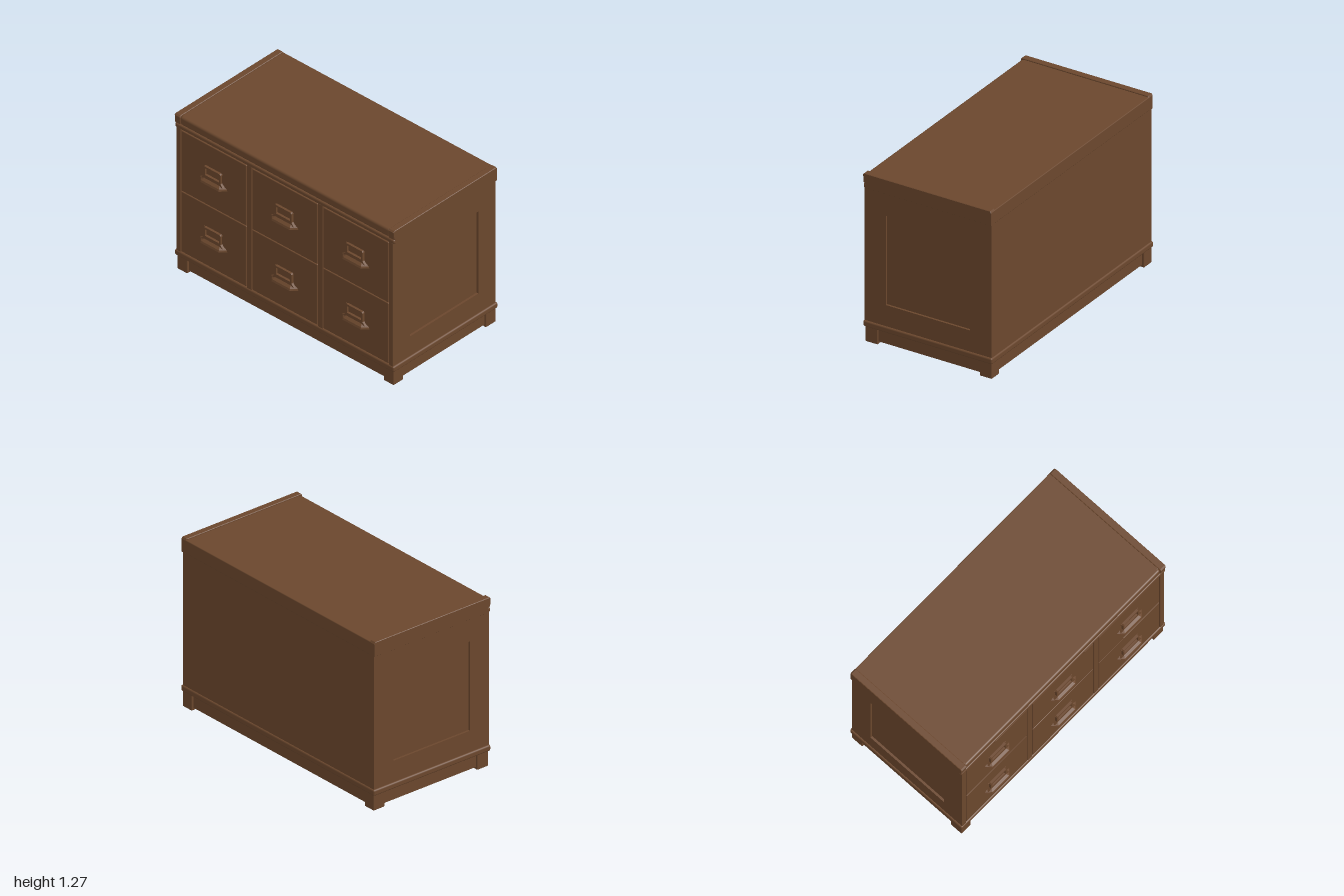
import * as THREE from 'three';
import { RoundedBoxGeometry } from 'three/addons/geometries/RoundedBoxGeometry.js';

const wood = new THREE.MeshStandardMaterial({ color: 0x6b472d, side: THREE.DoubleSide });
wood.name = 'brown wood';

function add(parent, name, geometry, x = 0, y = 0, z = 0) {
  const mesh = new THREE.Mesh(geometry, wood);
  mesh.name = name;
  mesh.position.set(x, y, z);
  parent.add(mesh);
  return mesh;
}

// Box given by its limits; r > 0 rounds the edges
function block(parent, name, [x0, x1], [y0, y1], [z0, z1], r = 0) {
  const size = [x1 - x0, y1 - y0, z1 - z0];
  const geometry = r ? new RoundedBoxGeometry(...size, 2, r) : new THREE.BoxGeometry(...size);
  return add(parent, name, geometry, (x0 + x1) / 2, (y0 + y1) / 2, (z0 + z1) / 2);
}

function rectangle(Path, x0, x1, y0, y1) {
  return new Path([[x0, y0], [x1, y0], [x1, y1], [x0, y1]].map(p => new THREE.Vector2(...p)));
}

// Flared shell of a drawer pull, open underneath
function pullGeometry() {
  const rings = [
    [[-0.125, 0], [-0.083, 0.041], [0.083, 0.041], [0.125, 0]].map(([x, z]) => [x, 0, z]),
    [[-0.12, 0], [-0.08, 0.036], [0.08, 0.036], [0.12, 0]].map(([x, z]) => [x, 0.014, z]),
    [[-0.09, 0], [-0.07, 0.017], [0.07, 0.017], [0.09, 0]].map(([x, z]) => [x, 0.03, z]),
  ];
  const points = [];
  const quad = (a, b, c, d) => points.push(...a, ...b, ...c, ...a, ...c, ...d);
  for (let r = 0; r < 2; r++) {
    for (let i = 0; i < 3; i++) quad(rings[r][i], rings[r][i + 1], rings[r + 1][i + 1], rings[r + 1][i]);
  }
  quad(rings[2][0], rings[2][1], rings[2][2], rings[2][3]);
  const geometry = new THREE.BufferGeometry();
  geometry.setAttribute('position', new THREE.Float32BufferAttribute(points, 3));
  geometry.computeVertexNormals();
  return geometry;
}

// Label frame: a plate with a window, flaring out towards the pull
function labelFrameGeometry() {
  const outline = [[-0.1, 0.02], [-0.078, 0.045], [-0.078, 0.115], [-0.07, 0.124],
    [0.07, 0.124], [0.078, 0.115], [0.078, 0.045], [0.1, 0.02]];
  const shape = new THREE.Shape(outline.map(p => new THREE.Vector2(...p)));
  shape.holes.push(rectangle(THREE.Path, -0.064, 0.064, 0.055, 0.108));
  return new THREE.ExtrudeGeometry(shape, { depth: 0.018, bevelEnabled: false });
}

export function createModel() {
  const model = new THREE.Group();
  model.name = 'drawerCabinet';

  // Carcass
  block(model, 'carcass', [-0.972, 0.972], [0.13, 1.18], [-0.52, 0.47]);

  // Plinth moulding as an open frame, with the floor set up inside it
  block(model, 'frontPlinthMoulding', [-1, 1], [0.115, 0.16], [0.4, 0.495], 0.012);
  block(model, 'backPlinthMoulding', [-1, 1], [0.115, 0.16], [-0.53, -0.44], 0.012);

  // Side frames around sunken panels
  const side = rectangle(THREE.Shape, -0.488, 0.52, 0.15, 1.17);
  side.holes.push(rectangle(THREE.Path, -0.32, 0.35, 0.32, 0.995));
  const sideGeometry = new THREE.ExtrudeGeometry(side, { depth: 0.016, bevelEnabled: false });

  // Raised end strips of the top, notched at the front
  const strip = new THREE.Shape([[0.525, 1.165], [0.525, 1.262], [0.516, 1.275], [-0.485, 1.275],
    [-0.495, 1.265], [-0.49, 1.205], [-0.478, 1.2], [-0.478, 1.165]].map(p => new THREE.Vector2(...p)));
  const stripGeometry = new THREE.ExtrudeGeometry(strip, {
    depth: 0.042, bevelThickness: 0.004, bevelSize: 0.003, bevelOffset: -0.003, bevelSegments: 1,
  });

  for (const s of [1, -1]) {
    const label = s > 0 ? 'left' : 'right';
    const frame = add(model, label + 'SideFrame', sideGeometry, s > 0 ? 0.972 : -0.988);
    frame.rotation.y = Math.PI / 2;
    const end = add(model, label + 'TopStrip', stripGeometry, s > 0 ? 0.954 : -0.996);
    end.rotation.y = Math.PI / 2;

    const span = (a, b) => (s > 0 ? [a, b] : [-b, -a]);
    block(model, label + 'PlinthMoulding', span(0.91, 1), [0.115, 0.16], [-0.53, 0.495], 0.012);
    block(model, label + 'FrontPost', span(0.95, 0.988), [0.155, 1.17], [0.46, 0.489], 0.004);
    block(model, label + 'Divider', span(0.302, 0.348), [0.155, 1.17], [0.46, 0.489], 0.006);
    block(model, label + 'Skirt', span(0.945, 0.975), [0.02, 0.13], [-0.45, 0.42]);

    // Corner feet
    block(model, label + 'FrontFoot', span(0.895, 0.988), [0, 0.13], [0.385, 0.482], 0.006);
    block(model, label + 'BackFoot', span(0.895, 0.988), [0, 0.13], [-0.522, -0.425], 0.006);
  }

  // Front and back skirts
  block(model, 'frontSkirt', [-0.92, 0.92], [0.02, 0.13], [0.437, 0.467]);
  block(model, 'backSkirt', [-0.92, 0.92], [0.02, 0.13], [-0.507, -0.477]);

  // Top board and the moulding under its front edge
  block(model, 'topBoard', [-0.96, 0.96], [1.165, 1.266], [-0.525, 0.47], 0.006);
  block(model, 'topFrontEdge', [-0.955, 0.955], [1.2, 1.266], [0.4, 0.488], 0.016);
  block(model, 'topFrontMoulding', [-1, 1], [1.165, 1.2], [0.42, 0.492], 0.012);

  // Six drawers with label frames and pulls
  const frameGeometry = labelFrameGeometry();
  const pull = pullGeometry();
  const earGeometry = new THREE.BoxGeometry(0.2, 0.008, 0.006);
  for (const [x, width] of [[-0.648, 0.592], [0, 0.592], [0.648, 0.592]]) {
    for (const y of [0.163, 0.663]) {
      const drawer = new THREE.Group();
      drawer.name = 'drawer';
      drawer.position.set(x, y, 0);
      model.add(drawer);
      block(drawer, 'drawerFront', [-width / 2, width / 2], [0, 0.494], [0.44, 0.488], 0.005);
      add(drawer, 'labelFrame', frameGeometry, 0, 0.197, 0.488);
      add(drawer, 'pull', pull, 0, 0.197, 0.488);
      add(drawer, 'frameTopEar', earGeometry, 0, 0.312, 0.489).scale.x = 0.85;
    }
  }
  return model;
}
